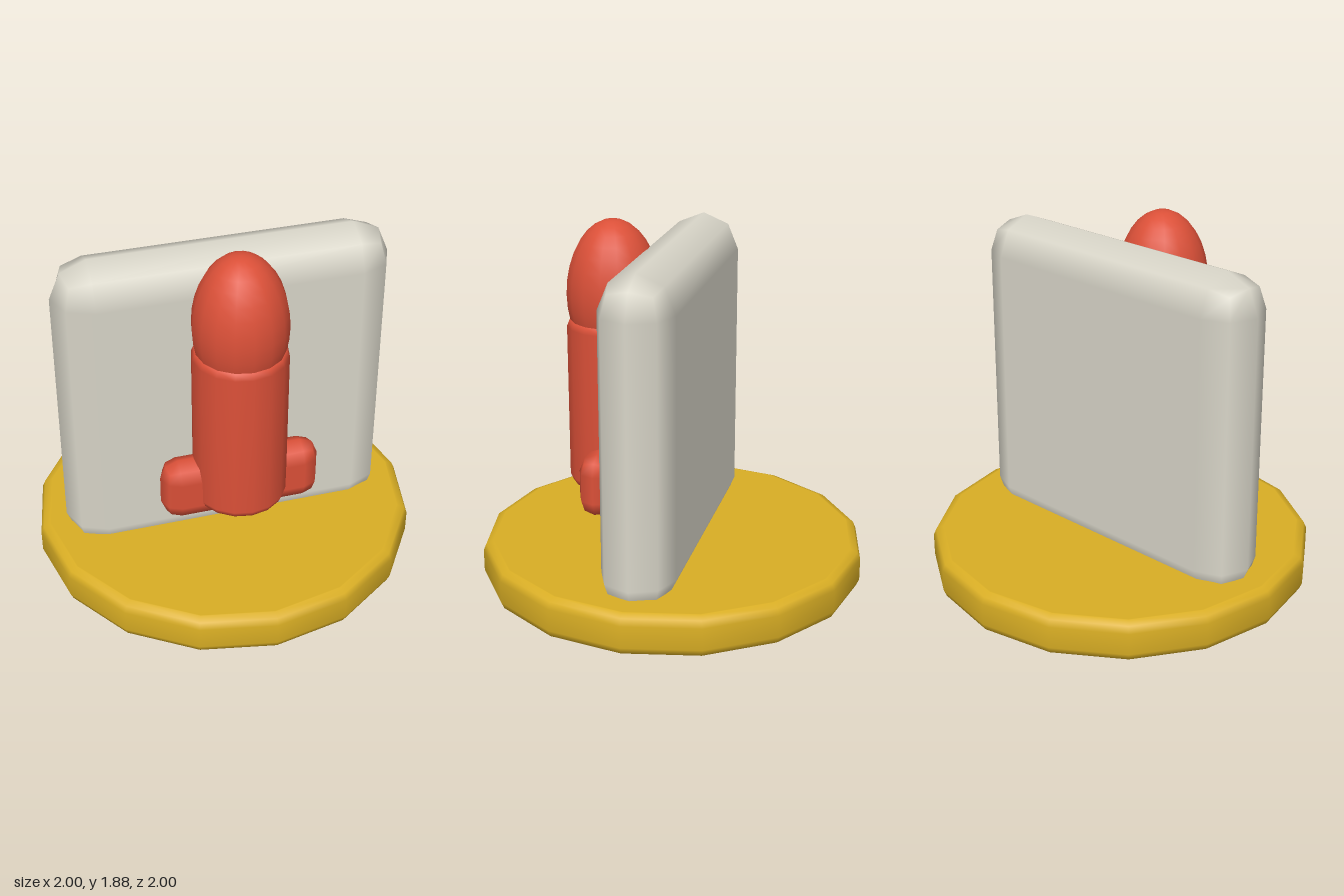
import * as THREE from 'three';

const gold = new THREE.MeshStandardMaterial({ color: 0xd9ae24 });
const red = new THREE.MeshStandardMaterial({ color: 0xdb5038 });
const stone = new THREE.MeshStandardMaterial({ color: 0xd9d6c9 });
gold.name = 'gold';
red.name = 'red';
stone.name = 'stone';

// Box with two-step rounded edges: a coarse cube grid pushed out to a sphere, then spread apart.
function softBox(w, h, d, r) {
  const g = new THREE.BoxGeometry(2, 2, 2, 3, 3, 3);
  const p = g.attributes.position, n = g.attributes.normal;
  const dir = new THREE.Vector3();
  const core = [w / 2 - r, h / 2 - r, d / 2 - r];
  for (let i = 0; i < p.count; i++) {
    const v = [p.getX(i), p.getY(i), p.getZ(i)];
    dir.set(...v.map((c) => (Math.abs(c) > 0.9 ? Math.sign(c) : 0))).normalize();
    const s = v.map((c, k) => Math.sign(c) * core[k]);
    p.setXYZ(i, s[0] + dir.x * r, s[1] + dir.y * r, s[2] + dir.z * r);
    n.setXYZ(i, dir.x, dir.y, dir.z);
  }
  return g;
}

// Sixteen-sided disc or column with bevelled rims
function softCylinder(radius, y0, y1, b) {
  const k = b * 0.3;
  const profile = [
    [0, y0], [radius - b - 0.005, y0], [radius - b, y0], [radius - k, y0 + k], [radius, y0 + b],
    [radius, y1 - b], [radius - k, y1 - k], [radius - b, y1], [radius - b - 0.005, y1], [0, y1],
  ].map(([x, y]) => new THREE.Vector2(x, y));
  return new THREE.LatheGeometry(profile, 16);
}

export function createModel() {
  const model = new THREE.Group();
  model.name = 'rocketTrophy';
  const add = (parent, name, geometry, material, x = 0, y = 0, z = 0) => {
    const mesh = new THREE.Mesh(geometry, material);
    mesh.name = name;
    mesh.position.set(x, y, z);
    parent.add(mesh);
  };

  // Round base and upright slab sunk into it
  add(model, 'base', softCylinder(1, 0, 0.215, 0.05), gold);
  add(model, 'slab', softBox(1.715, 1.71, 0.38, 0.19), stone, 0, 0.935, 0);

  // Rocket mounted against the front of the slab
  const rocket = new THREE.Group();
  rocket.name = 'rocket';
  rocket.position.z = 0.31;
  model.add(rocket);
  add(rocket, 'body', softCylinder(0.24, 0.48, 1.38, 0.045), red);
  const nose = new THREE.SphereGeometry(0.238, 16, 16);
  nose.scale(1, 0.38 / 0.238, 1);
  add(rocket, 'nose', nose, red, 0, 1.5, 0);
  add(rocket, 'fins', softBox(0.83, 0.33, 0.19, 0.093), red, 0, 0.575, 0);

  return model;
}
